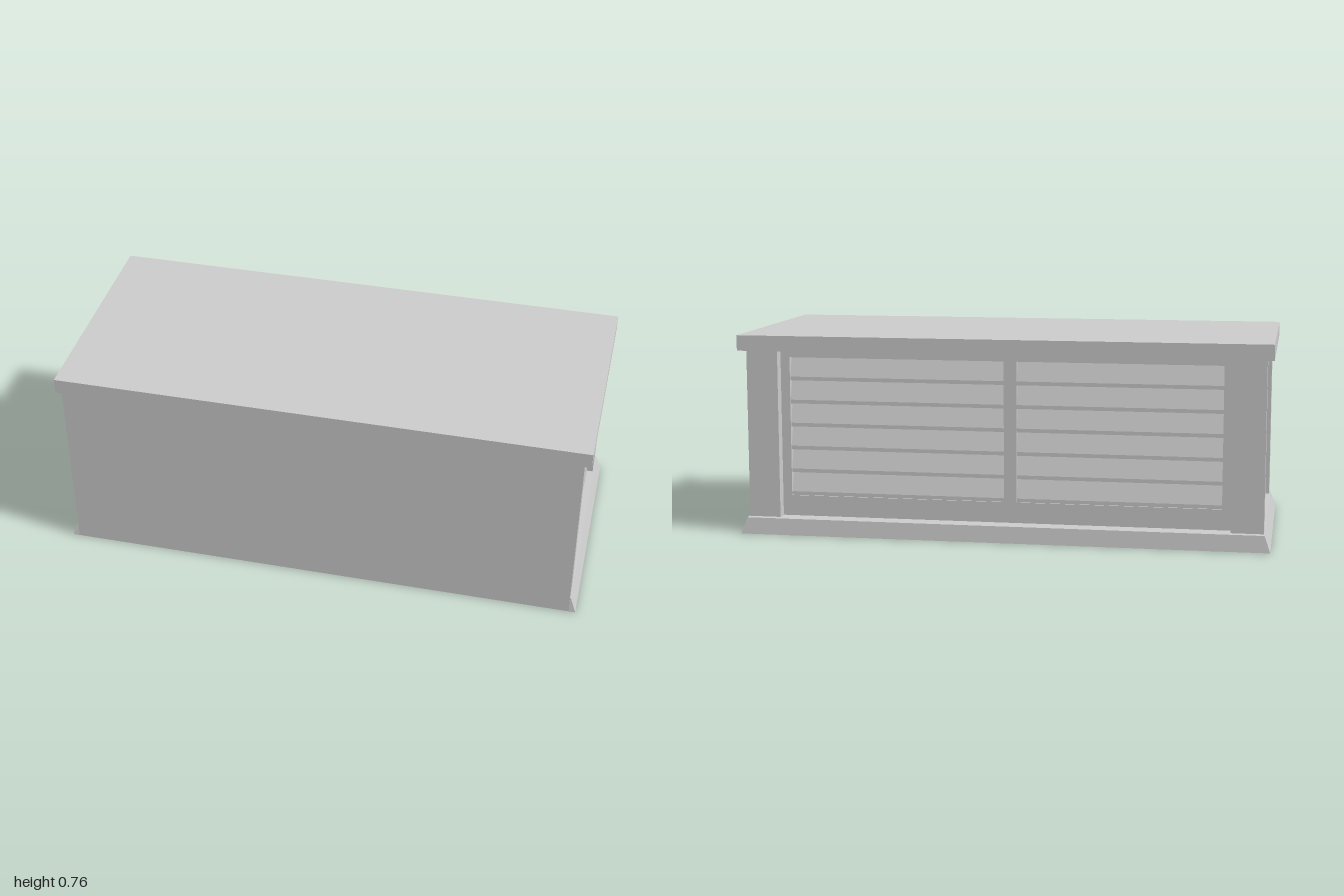
import * as THREE from 'three';

const material = new THREE.MeshStandardMaterial({ color: 0xcccccc, flatShading: true });

export function createModel() {
  const root = new THREE.Group();
  root.name = 'counter';
  const body = new THREE.Group();
  body.name = 'counterBody';
  body.rotation.y = -0.005; // stands very slightly askew
  root.add(body);

  function add(name, geometry) {
    const mesh = new THREE.Mesh(geometry, material);
    mesh.name = name;
    body.add(mesh);
    return mesh;
  }
  // Box given by its limits on each axis
  function block(name, x0, x1, y0, y1, z0, z1) {
    const mesh = add(name, new THREE.BoxGeometry(x1 - x0, y1 - y0, z1 - z0));
    mesh.position.set((x0 + x1) / 2, (y0 + y1) / 2, (z0 + z1) / 2);
    return mesh;
  }

  const halfW = 0.997, halfD = 0.443, baseH = 0.062, slabY = 0.7, topY = 0.758;

  // Worktop and plain front
  block('worktop', -halfW, halfW, slabY, topY, -halfD, halfD);
  block('frontPanel', -0.972, 0.972, 0, slabY, 0.366, halfD);

  // Plinth, narrowing towards its top
  const plinth = new THREE.BoxGeometry(2 * halfW, baseH, 2 * halfD);
  const p = plinth.attributes.position;
  for (let i = 0; i < p.count; i++) {
    if (p.getY(i) > 0) {
      p.setX(i, Math.sign(p.getX(i)) * 0.975);
      p.setZ(i, Math.sign(p.getZ(i)) * (halfD - 0.008));
    }
  }
  plinth.computeVertexNormals();
  add('plinth', plinth).position.y = baseH / 2;

  // Recessed core: its ends are the side panels, its back lies behind the slats
  block('core', -0.948, 0.948, baseH, slabY, -0.335, 0.366);

  // Back corner posts and door stiles
  const openY0 = 0.14, openY1 = 0.67, frameZ = -0.366;
  for (const s of [-1, 1]) {
    const side = s > 0 ? 'left' : 'right';
    const span = (a, b) => (s > 0 ? [a, b] : [-b, -a]);
    block(side + 'BackPost', ...span(0.852, 0.972), baseH, slabY, -0.408, -0.333);
    block(side + 'Stile', ...span(0.817, 0.852), baseH, slabY, frameZ, -0.333);
  }

  // Door rails and middle stile
  block('bottomRail', -0.817, 0.817, baseH, openY0, frameZ, -0.333);
  block('topRail', -0.817, 0.817, openY1, slabY, frameZ, -0.333);
  block('middleStile', -0.053, -0.005, openY0, openY1, frameZ, -0.333);

  // Slats leaning outwards at their lower edge
  const slatCount = 6, pitch = (openY1 - openY0) / slatCount;
  const profile = new THREE.Shape([
    new THREE.Vector2(0.33, 0),
    new THREE.Vector2(0.36, 0),
    new THREE.Vector2(0.36, 0.014),
    new THREE.Vector2(0.337, pitch),
    new THREE.Vector2(0.33, pitch),
  ]);
  for (const [x0, x1] of [[-0.817, -0.053], [-0.005, 0.817]]) {
    for (let i = 0; i < slatCount; i++) {
      const slat = add('slat', new THREE.ExtrudeGeometry(profile, { depth: x1 - x0, bevelEnabled: false }));
      slat.rotation.y = Math.PI / 2; // profile x runs to -z, depth along +x
      slat.position.set(x0, openY0 + i * pitch, 0);
    }
  }
  return root;
}
